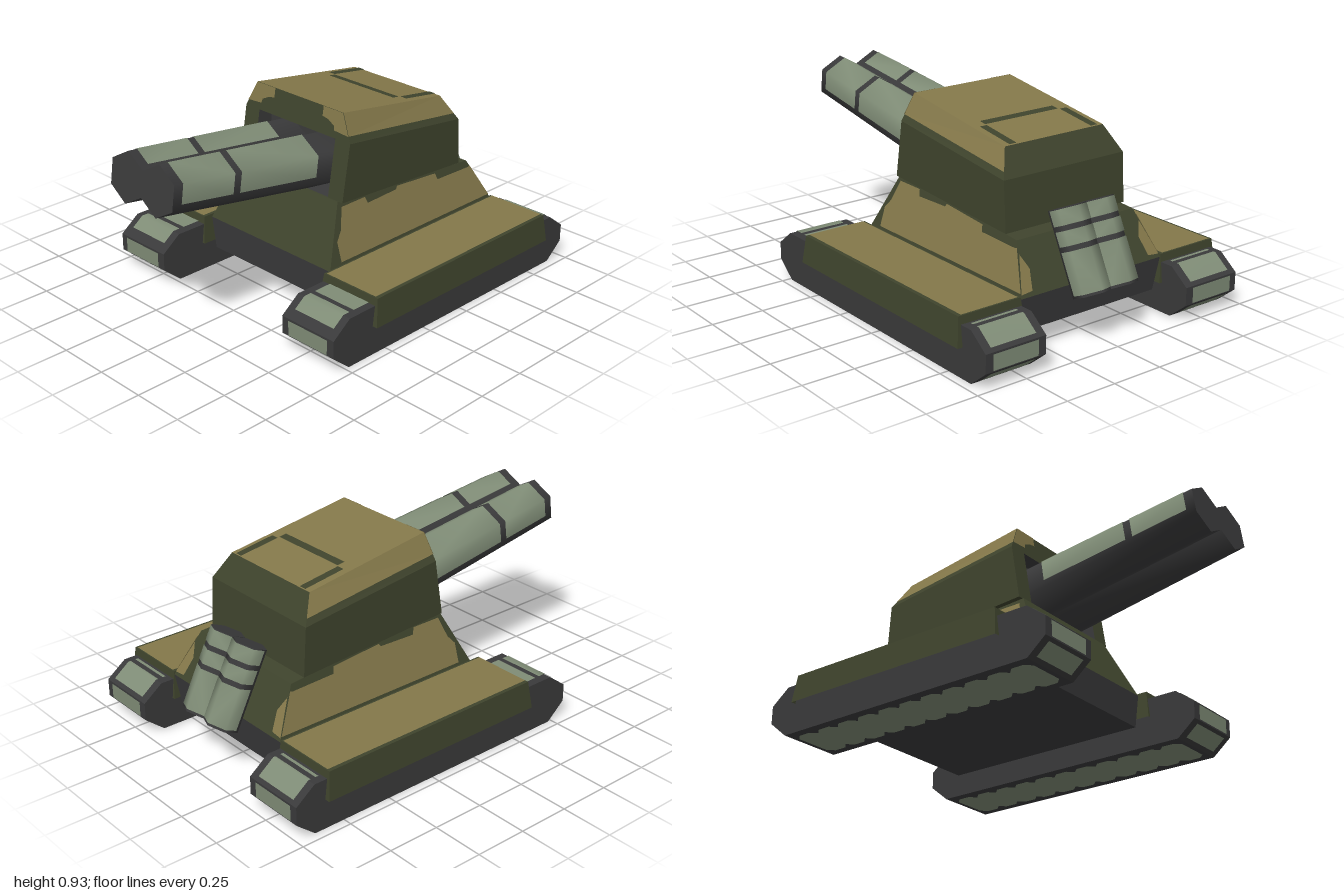
import * as THREE from 'three';

const mat = (name, color) => new THREE.MeshStandardMaterial({ name, color, side: THREE.DoubleSide });
const V = (x, y, z) => new THREE.Vector3(x, y, z);

export function createModel() {
  const model = new THREE.Group();
  const darkOlive = mat('darkOlive', 0x3f442d);
  const tan = mat('tan', 0x84784a);
  const darkGrey = mat('darkGrey', 0x3a3a3b);
  const sage = mat('sage', 0x7f8c76);

  const add = (name, geometry, material) => {
    const mesh = new THREE.Mesh(geometry, material);
    mesh.name = name;
    model.add(mesh);
    return mesh;
  };

  // Flat faces: every polygon is a fan of triangles with its own normals
  const faces = (name, polys, material) => {
    const p = [];
    for (const q of polys)
      for (let i = 1; i < q.length - 1; i++)
        for (const v of [q[0], q[i], q[i + 1]]) p.push(v.x, v.y, v.z);
    const g = new THREE.BufferGeometry();
    g.setAttribute('position', new THREE.Float32BufferAttribute(p, 3));
    g.computeVertexNormals();
    return add(name, g, material);
  };

  // Smooth surface through rows of points
  const sheet = (name, rows, material) => {
    const n = rows[0].length, index = [];
    for (let i = 0; i < rows.length - 1; i++)
      for (let j = 0; j < n - 1; j++) {
        const a = i * n + j, b = a + n;
        index.push(a, b, a + 1, a + 1, b, b + 1);
      }
    const g = new THREE.BufferGeometry().setFromPoints(rows.flat());
    g.setIndex(index);
    g.computeVertexNormals();
    return add(name, g, material);
  };

  // Flat outline bent onto a surface by a rule
  const plate = (name, shape, rule, material) => {
    const g = new THREE.ShapeGeometry(shape), p = g.attributes.position;
    for (let i = 0; i < p.count; i++) p.setXYZ(i, ...rule(p.getX(i), p.getY(i)));
    g.computeVertexNormals();
    return add(name, g, material);
  };
  const outline = pts => new THREE.Shape(pts.map(p => new THREE.Vector2(...p)));

  // Four side walls between two rectangles of corners
  const walls = (lo, hi) => lo.map((_, i) => [lo[i], lo[(i + 1) % 4], hi[(i + 1) % 4], hi[i]]);
  const rect = (x0, x1, y0, y1, z0, z1) => [V(x0, y0, z0), V(x0, y1, z1), V(x1, y1, z1), V(x1, y0, z0)];

  // Lower hull
  const belly = rect(-0.38, 0.38, 0.1, 0.1, -0.81, 0.265);
  const waist = rect(-0.395, 0.395, 0.26, 0.26, -0.835, 0.275);
  faces('lowerHull', [...walls(belly, waist), belly.slice().reverse()], darkGrey);

  // Upper hull with sloped walls
  const sideX = y => 0.395 - (y - 0.26) * 0.315;
  const deck = [V(-sideX(0.47), 0.47, -0.72), V(-sideX(0.53), 0.53, 0.145), V(sideX(0.53), 0.53, 0.145), V(sideX(0.47), 0.47, -0.72)];
  faces('upperHull', [...walls(waist, deck), deck], darkOlive);

  // Turret shell
  const corners = s => [V(s * 0.335, 0.53, 0.14), V(s * 0.335, 0.8, 0.095), V(s * 0.275, 0.925, 0.075),
    V(s * 0.275, 0.83, -0.57), V(s * 0.335, 0.71, -0.64), V(s * 0.335, 0.48, -0.655)];
  const [L, R] = [corners(1), corners(-1)];
  faces('turretRoof', [[L[2], L[3], R[3], R[2]]], tan);
  faces('turretRear', [[L[3], L[4], R[4], R[3]], [L[4], L[5], R[5], R[4]], [L[5], L[0], R[0], R[5]]], darkOlive);

  // Turret front with the gun opening and its recess
  const frontZ = y => 0.14 - (y - 0.53) * 0.165;
  const front = outline([[-0.335, 0.53], [-0.245, 0.53], [-0.245, 0.8], [0.245, 0.8], [0.245, 0.53],
    [0.335, 0.53], [0.335, 0.8], [0.275, 0.925], [-0.275, 0.925], [-0.335, 0.8]]);
  plate('turretFront', front, (x, y) => [x, y, frontZ(y)], darkOlive);
  const mouth = [[-0.245, 0.532], [-0.245, 0.8], [0.245, 0.8], [0.245, 0.532]];
  const inner = mouth.map(([x, y]) => V(x, y, 0.02));
  faces('gunRecess', [...walls(mouth.map(([x, y]) => V(x, y, frontZ(y))), inner), inner], darkGrey);

  // Dark bracket marking on the roof
  for (const [x0, x1, z0, z1] of [[-0.245, -0.207, -0.568, -0.36], [0.21, 0.248, -0.568, -0.365], [-0.2, 0.21, -0.355, -0.317]]) {
    const at = (x, z) => V(x, 0.918 + 0.1473 * z, z);
    faces('roofMarking', [[at(x0, z0), at(x0, z1), at(x1, z1), at(x1, z0)]], darkOlive);
  }

  // Six-sided tube with bands of paint; vertex 0 points along up
  const hexTube = (name, s, c0, c1, r0, r1, up, sx, arc, bands) => {
    const corner = (t, k, grow) => {
      const r = THREE.MathUtils.lerp(r0, r1, t) + grow, a = k * Math.PI / 3;
      const c = c0.clone().lerp(c1, t).addScaledVector(up, Math.cos(a) * r);
      c.x += s * sx * Math.sin(a) * r;
      return c;
    };
    const point = (t, q, grow = 0) => {
      const k = Math.floor(q);
      return corner(t, k, grow).lerp(corner(t, k + 1, grow), q - k);
    };
    const ring = [-3, -2, -1, 0, 1, 2, 3];
    sheet(name, [0, 1].map(t => ring.map(q => point(t, q))), darkGrey);
    faces(name + 'Ends', [0, 1].map(t => ring.slice(1).map(q => point(t, q))), darkGrey);
    for (const band of bands)
      sheet(name + 'Paint', band.map(t => arc.map(q => point(t, q, 0.003))), sage);
  };

  // Track outline as [z, y], running round from the lower front
  const track = [[0.48, 0], [0.573, 0.078], [0.573, 0.163], [0.477, 0.235], [-0.905, 0.235], [-1, 0.163], [-1, 0.078], [-0.905, 0]];

  for (const s of [1, -1]) {
    // Turret cheeks and painted shoulders
    const T = s > 0 ? L : R;
    const b = T[1].clone().lerp(T[2], 0.24), e = T[4].clone().lerp(T[3], 0.25);
    faces('turretSide', [[T[0], T[1], T[4], T[5]], [T[1], b, e, T[4]]], darkOlive);
    faces('turretShoulder', [[b, T[2], T[3], e]], tan);
    plate('frontCornerPaint', outline([[0.275, 0.925], [0.155, 0.925], [0.155, 0.88], [0.19, 0.875], [0.23, 0.855], [0.235, 0.835], [0.321, 0.83]]),
      (x, y) => [s * x, y, frontZ(y) + 0.003], tan);

    // Hull side paint and rear corner paint
    plate('hullSidePaint', outline([[0.2, 0.28], [0.2, 0.37], [0.165, 0.41], [0.13, 0.505], [-0.02, 0.505], [-0.03, 0.475],
      [-0.22, 0.48], [-0.23, 0.493], [-0.49, 0.475], [-0.5, 0.445], [-0.72, 0.44], [-0.735, 0.443], [-0.825, 0.28]]),
      (z, y) => [s * (sideX(y) + 0.003), y, z], tan);
    plate('rearCornerPaint', outline([[0.39, 0.275], [0.34, 0.42], [0.31, 0.36], [0.33, 0.28]]),
      (x, y) => [s * x, y, -0.838 + (y - 0.26) * 0.5476], tan);

    // Fender over the track
    const skirt = rect(s * 0.385, s * 0.735, 0.14, 0.14, -0.85, 0.335);
    const lid = rect(s * 0.4, s * 0.72, 0.272, 0.272, -0.835, 0.318);
    faces('fender', [...walls(skirt, lid), lid], darkOlive);
    faces('fenderTopPaint', [rect(s * 0.412, s * 0.705, 0.275, 0.275, -0.832, 0.314)], tan);

    // Track body
    const g = new THREE.ExtrudeGeometry(outline(track), { depth: 0.31, bevelEnabled: false });
    g.rotateY(-Math.PI / 2);
    const body = add('track', g, darkGrey);
    body.position.x = s > 0 ? 0.71 : -0.4;

    // Painted pads on the exposed ends
    const pads = [[[0.32, 0.238], [0.415, 0.238]], [[0.44, 0.238], [0.478, 0.238], [0.535, 0.195]],
      [[0.576, 0.155], [0.576, 0.083]], [[0.562, 0.065], [0.5, 0.013]],
      [[-0.855, 0.238], [-0.87, 0.238]], [[-0.895, 0.238], [-0.907, 0.238], [-0.985, 0.178]],
      [[-1.002, 0.155], [-1.002, 0.083]], [[-0.988, 0.065], [-0.925, 0.013]]];
    for (const pad of pads)
      sheet('trackPad', pad.map(([z, y]) => [V(s * 0.44, y, z), V(s * 0.673, y, z)]), sage);

    // Scalloped strip along the sole
    const sole = [];
    for (let i = 0; i <= 44; i++) {
      const w = i % 4 === 0 ? 0.085 : 0.115;
      sole.push([V(s * (0.555 - w), -0.002, 0.46 - i * 0.0305), V(s * (0.555 + w), -0.002, 0.46 - i * 0.0305)]);
    }
    sheet('trackSolePaint', sole, sage);

    // Main gun barrel
    hexTube('barrel', s, V(s * 0.115, 0.647, 0.02), V(s * 0.1, 0.785, 0.983), 0.132, 0.117,
      V(0, 0.99, -0.142), 1, [-0.75, 0, 1, 1.75], [[0.177, 0.633], [0.67, 0.955]]);

    // Rear canister
    hexTube('rearCanister', s, V(s * 0.079, 0.573, -0.745), V(s * 0.079, 0.23, -0.917), 0.073, 0.073,
      V(0, 0.4, -0.916), 1.2, [-1.8, -1, 0, 1, 1.8], [[0.01, 0.19], [0.25, 0.42], [0.48, 0.97]]);
  }
  return model;
}
